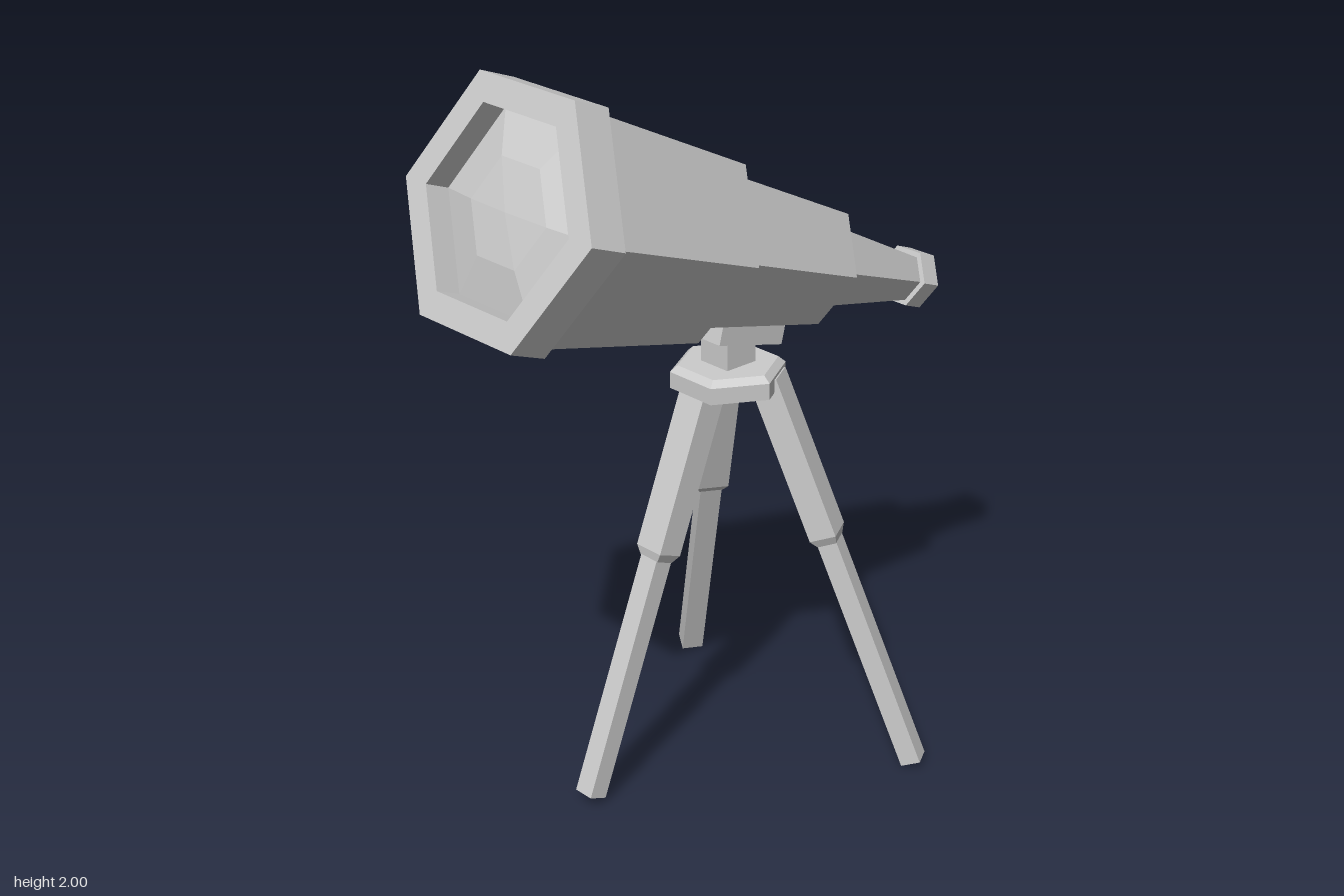
import * as THREE from 'three';

const material = new THREE.MeshStandardMaterial({ color: 0xcccccc, flatShading: true });
const TILT = THREE.MathUtils.degToRad(20.4);
const HUB_X = 0.05;

function add(parent, name, geometry, x = 0, y = 0, z = 0) {
  const mesh = new THREE.Mesh(geometry, material);
  mesh.name = name;
  mesh.position.set(x, y, z);
  parent.add(mesh);
  return mesh;
}

// Six-sided turned part from [radius, distance along the axis] pairs
function hexTurned(points) {
  return new THREE.LatheGeometry(points.map(([r, t]) => new THREE.Vector2(r, t)), 6);
}

// Four-sided bar running down from y = 0, with a scaled end for a chamfer
function bar(width, depth, length, endScale = 1) {
  const geometry = new THREE.CylinderGeometry(Math.SQRT1_2, Math.SQRT1_2 * endScale, length, 4);
  geometry.rotateY(Math.PI / 4);
  geometry.scale(width, 1, depth);
  geometry.translate(0, -length / 2, 0);
  return geometry;
}

function createTelescope() {
  // The local y axis runs from the objective to the eyepiece
  const tube = new THREE.Group();
  tube.name = 'telescopeTube';
  tube.position.set(-0.693, 1.72, 0);
  tube.rotation.z = -Math.PI / 2 - TILT;

  add(tube, 'objectiveHood', hexTurned([[0.265, 0.07], [0.265, 0], [0.345, 0], [0.345, 0.106], [0, 0.106]]));
  add(tube, 'objectiveLens', hexTurned([[0, 0.03], [0.14, 0.04], [0.265, 0.07]]));
  const stages = [
    ['largeTubeSection', 0.323, 0.106, 0.264, 0.636],
    ['middleTubeSection', 0.226, 0.636, 0.173, 1.109],
    ['smallTubeSection', 0.126, 1.109, 0.07, 1.495],
  ];
  for (const [name, r0, t0, r1, t1] of stages) {
    add(tube, name, hexTurned([[0, t0], [r0, t0], [r1, t1], [0, t1]]));
  }
  add(tube, 'eyepiece', hexTurned([[0, 1.495], [0.086, 1.495], [0.086, 1.555], [0.056, 1.555], [0.056, 1.53]]));
  add(tube, 'eyepieceLens', hexTurned([[0.056, 1.53], [0.03, 1.54], [0, 1.543]]));
  return tube;
}

function createLeg(angle, lowerLength) {
  const pivot = new THREE.Group();
  pivot.name = 'tripodLeg';
  pivot.position.x = HUB_X + 0.015;
  pivot.rotation.y = angle;

  // Leaning leg whose origin sits at the joint between upper and lower bars
  const leg = new THREE.Group();
  leg.position.set(0.268, 0.655, 0);
  leg.rotation.z = THREE.MathUtils.degToRad(21.3);
  add(leg, 'upperLeg', bar(0.075, 0.09, 0.46), 0, 0.472);
  add(leg, 'legCollar', bar(0.075, 0.09, 0.024, 0.72), 0, 0.012);
  add(leg, 'lowerLeg', bar(0.055, 0.06, lowerLength));
  pivot.add(leg);
  return pivot;
}

export function createModel() {
  const model = new THREE.Group();
  model.name = 'telescopeOnTripod';
  model.add(createTelescope());

  // Mount between tube and tripod
  const plate = add(model, 'mountPlate', new THREE.BoxGeometry(0.228, 0.09, 0.16), 0.066, 1.242);
  plate.rotation.z = THREE.MathUtils.degToRad(-14.5);
  add(model, 'mountNeck', new THREE.BoxGeometry(0.1, 0.13, 0.1), 0.05, 1.175);

  // Hexagonal hub with a chamfered top
  add(model, 'tripodHub', hexTurned([[0, 1.07], [0.155, 1.07], [0.155, 1.115], [0.135, 1.132], [0, 1.132]]), HUB_X);

  // Three legs spread evenly
  model.add(createLeg(Math.PI, 0.675));
  for (const side of [-1, 1]) model.add(createLeg(side * Math.PI / 3, 0.692));
  return model;
}
